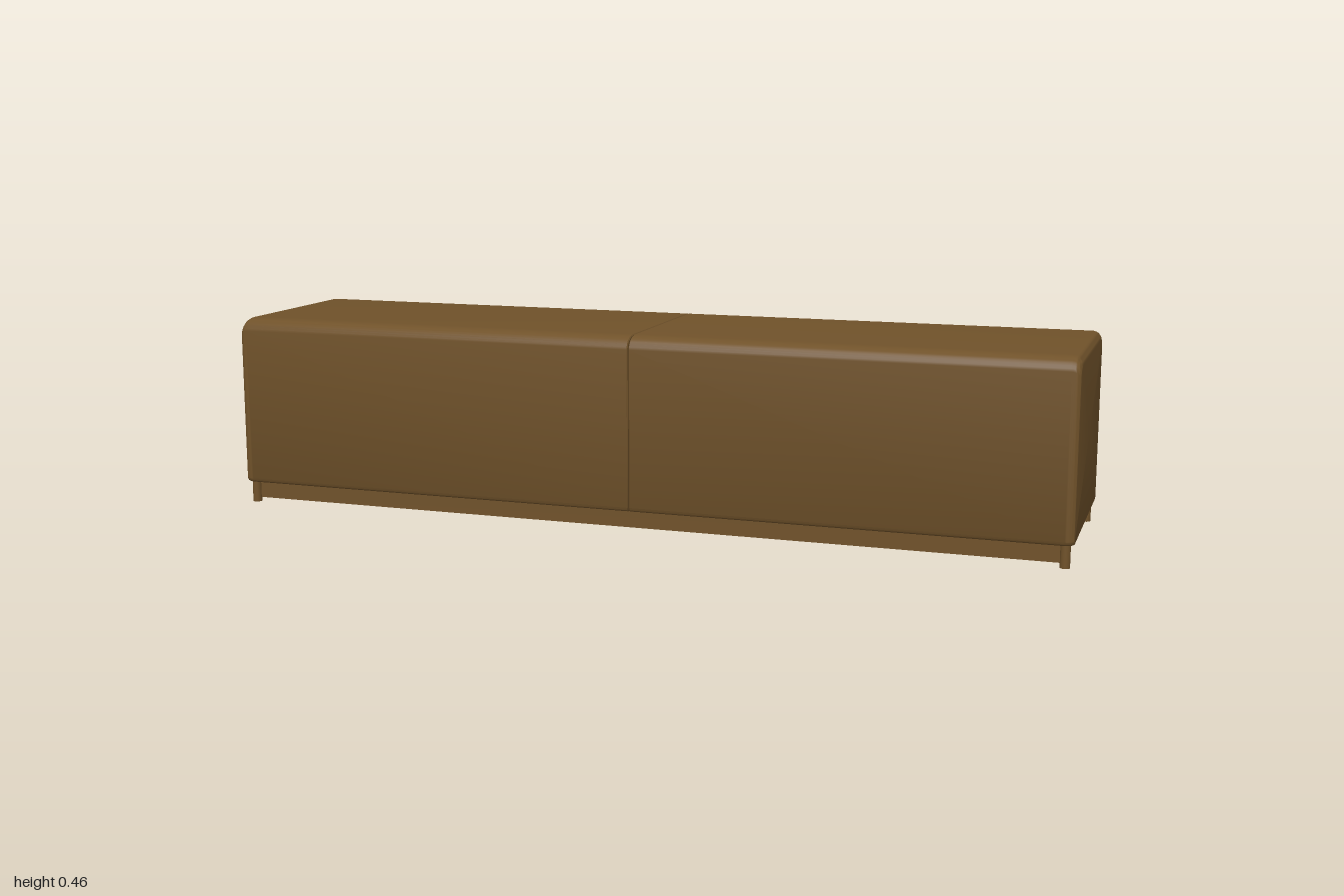
import * as THREE from 'three';
import { toCreasedNormals } from 'three/addons/utils/BufferGeometryUtils.js';

const W = 0.24, BOTTOM = 0.05, TOP = 0.455;

// Cross-section of a seat block: upright sides, soft top edges, tight bottom edges
function seatProfile() {
  const s = new THREE.Shape();
  s.moveTo(-W + 0.01, BOTTOM);
  s.lineTo(W - 0.01, BOTTOM);
  s.quadraticCurveTo(W, BOTTOM, W, BOTTOM + 0.01);
  s.lineTo(W, 0.425);
  s.bezierCurveTo(W, 0.443, 0.222, TOP, 0.195, TOP);
  s.lineTo(-0.195, TOP);
  s.bezierCurveTo(-0.222, TOP, -W, 0.443, -W, 0.425);
  s.lineTo(-W, BOTTOM + 0.01);
  s.quadraticCurveTo(-W, BOTTOM, -W + 0.01, BOTTOM);
  const pts = s.getPoints(8);
  return pts.filter((p, i) => i === 0 || p.distanceTo(pts[i - 1]) > 1e-5)
    .filter((p, i, a) => i === 0 || p.distanceTo(a[0]) > 1e-5);
}

// Half of the bench: sections swept along x, nearly square at the seam, rounded at the end
function seatGeometry() {
  const profile = seatProfile(), n = profile.length;
  const rings = [{ x: 0.001, side: 0.002, top: 0.002 }, { x: 0.003, side: 0, top: 0 }];
  for (let i = 0; i <= 8; i++) {
    const t = (i / 8) * Math.PI / 2, drop = 1 - Math.cos(t);
    rings.push({ x: 0.98 + 0.02 * Math.sin(t), side: 0.008 * drop, top: 0.02 * drop });
  }
  const pos = [], index = [];
  for (const r of rings) {
    for (const p of profile) {
      const low = BOTTOM + r.side * 0.5;
      const k = (p.y - BOTTOM) / (TOP - BOTTOM);
      pos.push(r.x, low + k * (TOP - r.top - low), p.x * (W - r.side) / W);
    }
  }
  const last = (rings.length - 1) * n;
  for (let i = 0; i < rings.length - 1; i++) {
    for (let j = 0; j < n; j++) {
      const a = i * n + j, d = i * n + (j + 1) % n;
      index.push(a, a + n, d, d, a + n, d + n);
    }
  }
  // flat caps at the seam and the outer end
  const c = pos.length / 3;
  pos.push(rings[0].x, 0.25, 0, 1, 0.25, 0);
  for (let j = 0; j < n; j++) {
    const k = (j + 1) % n;
    index.push(c, j, k, c + 1, last + k, last + j);
  }
  const g = new THREE.BufferGeometry();
  g.setAttribute('position', new THREE.Float32BufferAttribute(pos, 3));
  g.setIndex(index);
  return toCreasedNormals(g, 0.6);
}

export function createModel() {
  const group = new THREE.Group();
  const material = new THREE.MeshStandardMaterial({ color: 0x70522a });
  const add = (name, geometry, x, y, z) => {
    const mesh = new THREE.Mesh(geometry, material);
    mesh.name = name;
    mesh.position.set(x, y, z);
    group.add(mesh);
    return mesh;
  };

  // Two upholstered blocks meeting at the centre seam
  const seat = seatGeometry();
  add('leftSeatBlock', seat, 0, 0, 0);
  add('rightSeatBlock', seat, 0, 0, 0).rotation.y = Math.PI;

  // Recessed plinth
  add('plinth', new THREE.BoxGeometry(1.95, 0.045, 0.444), 0, 0.0325, 0);

  // Short round corner legs
  const leg = new THREE.CylinderGeometry(0.011, 0.011, 0.055, 24);
  for (const sx of [1, -1]) {
    for (const sz of [1, -1]) {
      add((sz > 0 ? 'front' : 'back') + (sx > 0 ? 'Left' : 'Right') + 'Leg',
        leg, sx * 0.981, 0.0275, sz * 0.222);
    }
  }
  return group;
}
